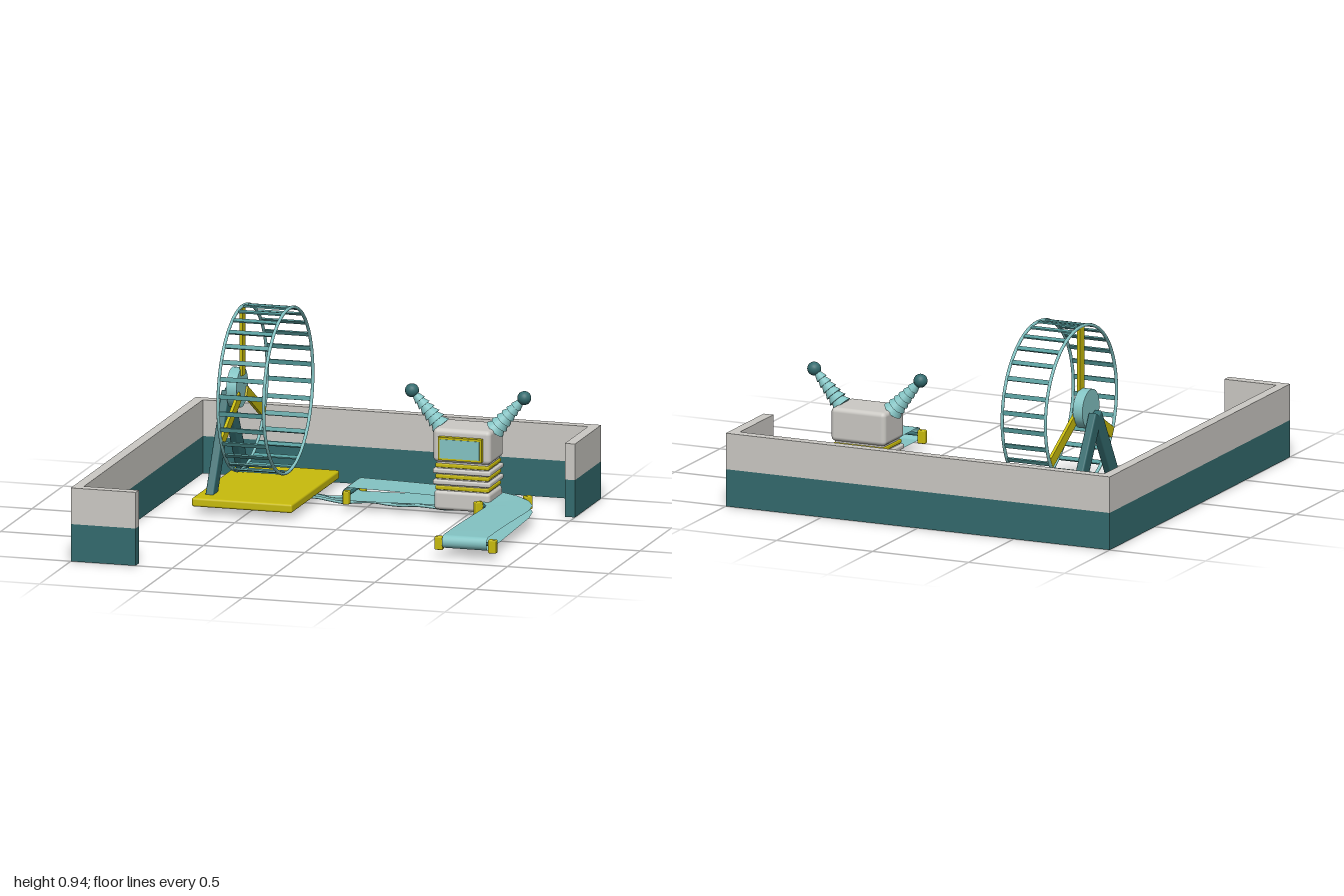
import * as THREE from 'three';
import { RoundedBoxGeometry } from 'three/addons/geometries/RoundedBoxGeometry.js';

const mat = (name, color, side = THREE.FrontSide) => {
  const m = new THREE.MeshStandardMaterial({ color, side });
  m.name = name;
  return m;
};

export function createModel() {
  const paleTeal = mat('pale teal', 0x84c4c4, THREE.DoubleSide);
  const midTeal = mat('mid teal', 0x549a9a);
  const darkTeal = mat('dark teal', 0x336b6e);
  const grey = mat('warm grey', 0xcccac5);
  const yellow = mat('yellow', 0xc9bc0c);

  const model = new THREE.Group();
  const group = (name, parent = model) => {
    const g = new THREE.Group();
    g.name = name;
    parent.add(g);
    return g;
  };
  const add = (parent, name, geo, material, x = 0, y = 0, z = 0) => {
    const m = new THREE.Mesh(geo, material);
    m.name = name;
    m.position.set(x, y, z);
    parent.add(m);
    return m;
  };
  // Box given by its low and high corners, optionally rounded
  const span = (parent, name, material, a, b, r = 0) => {
    const s = a.map((v, i) => b[i] - v);
    const geo = r ? new RoundedBoxGeometry(...s, 3, r) : new THREE.BoxGeometry(...s);
    return add(parent, name, geo, material, ...a.map((v, i) => (v + b[i]) / 2));
  };

  // Two-tone walls extruded from one plan outline
  const walls = group('walls');
  const plan = [[-1, -1], [1, -1], [1, -0.58], [0.95, -0.58], [0.95, -0.95],
    [-0.95, -0.95], [-0.95, 0.95], [-0.68, 0.95], [-0.68, 1], [-1, 1]];
  const outline = new THREE.Shape(plan.map(([x, z]) => new THREE.Vector2(x, -z)));
  for (const [name, m, y0, y1] of [['lowerWall', darkTeal, 0, 0.18], ['upperWall', grey, 0.18, 0.355]]) {
    const geo = new THREE.ExtrudeGeometry(outline, { depth: y1 - y0, bevelEnabled: false });
    geo.rotateX(-Math.PI / 2);
    add(walls, name, geo, m, 0, y0, 0);
  }

  // Running wheel on its base
  const wheelUnit = group('wheelUnit');
  span(wheelUnit, 'base', yellow, [-0.75, 0.035, -0.885], [-0.255, 0.077, -0.12], 0.01);
  for (const side of [-1, 1]) {
    const dy = 0.47, dz = 0.27;
    const leg = add(wheelUnit, 'leg', new RoundedBoxGeometry(0.04, Math.hypot(dy, dz), 0.075, 2, 0.008),
      darkTeal, -0.69, 0.275, -0.5 + side * dz / 2);
    leg.rotation.x = -side * Math.atan2(dz, dy);
  }
  const wheel = group('wheel', wheelUnit);
  wheel.position.set(0, 0.5375, -0.5);
  add(wheel, 'hub', new THREE.CylinderGeometry(0.095, 0.095, 0.05, 32).rotateZ(Math.PI / 2), paleTeal, -0.642);
  for (const x of [-0.615, -0.39])
    add(wheel, 'rim', new THREE.TorusGeometry(0.394, 0.008, 8, 64).rotateY(Math.PI / 2), paleTeal, x);
  for (let i = 0; i < 30; i++) {
    const a = i / 30 * Math.PI * 2;
    const slat = add(wheel, 'slat', new THREE.BoxGeometry(0.222, 0.008, 0.022), midTeal,
      -0.5025, Math.cos(a) * 0.394, Math.sin(a) * 0.394);
    slat.rotation.x = a;
  }
  for (let i = 0; i < 3; i++) {
    const a = i / 3 * Math.PI * 2;
    const spoke = add(wheel, 'spoke', new THREE.BoxGeometry(0.015, 0.33, 0.052), yellow,
      -0.615, Math.cos(a) * 0.225, Math.sin(a) * 0.225);
    spoke.rotation.x = a;
  }

  // Conveyor centre line: straight, quarter turn, straight
  const turnStart = 0.57, turnR = 0.26, turnEnd = turnStart + turnR * Math.PI / 2, length = turnEnd + 0.655;
  const track = (s, off = 0) => { // returns x, z and heading; off is sideways, outward positive
    if (s < turnStart) return [-0.07 + s, -0.53 - off, 0];
    if (s > turnEnd) return [0.76 + off, -0.27 + s - turnEnd, Math.PI / 2];
    const a = (s - turnStart) / turnR;
    return [0.5 + Math.sin(a) * (turnR + off), -0.27 - Math.cos(a) * (turnR + off), a];
  };
  const middle = (turnStart + turnEnd) / 2;
  const stops = [0, 0.2, 0.4, turnStart];
  for (let i = 1; i <= 5; i++) stops.push(turnStart + (turnEnd - turnStart) * i / 5);
  stops.push(turnEnd + 0.22, turnEnd + 0.44, length);

  // Closed belt that narrows towards the corner and wraps round both ends
  const loop = [];
  const gap = s => 0.012 + 0.02 * Math.min(1, Math.abs(s - middle) / 0.7);
  for (const s of stops) loop.push([s, 0.075 + gap(s)]);
  for (let i = 1; i < 8; i++)
    loop.push([length + Math.sin(i * Math.PI / 8) * 0.03, 0.075 + Math.cos(i * Math.PI / 8) * 0.032]);
  for (const s of [...stops].reverse()) loop.push([s, 0.075 - gap(s)]);
  for (let i = 1; i < 8; i++)
    loop.push([-Math.sin(i * Math.PI / 8) * 0.03, 0.075 - Math.cos(i * Math.PI / 8) * 0.032]);
  const pos = [], index = [];
  loop.forEach(([s, y], i) => {
    for (const off of [-0.11, 0.11]) {
      const [x, z] = track(s, off);
      pos.push(x, y, z);
    }
    const a = i * 2, b = ((i + 1) % loop.length) * 2;
    index.push(a, b, a + 1, a + 1, b, b + 1);
  });
  const beltGeo = new THREE.BufferGeometry();
  beltGeo.setAttribute('position', new THREE.Float32BufferAttribute(pos, 3));
  beltGeo.setIndex(index);
  beltGeo.computeVertexNormals();
  const conveyor = group('conveyor');
  add(conveyor, 'belt', beltGeo, paleTeal);

  // Axles and their end brackets
  for (const s of [0, middle, length]) {
    const [x, z, heading] = track(s);
    const axle = add(conveyor, 'axle', new THREE.CylinderGeometry(0.009, 0.009, 0.27, 12).rotateX(Math.PI / 2),
      darkTeal, x, 0.075, z);
    axle.rotation.y = -heading;
    for (const off of [-0.132, 0.132]) {
      const [px, pz] = track(s, off);
      const bracket = add(conveyor, 'bracket', new RoundedBoxGeometry(0.03, 0.065, 0.04, 2, 0.006),
        yellow, px, 0.065, pz);
      bracket.rotation.y = -heading;
    }
  }

  // Cables running from the base along the underside of the belt
  [-0.07, -0.015, 0.025].forEach((off, k) => {
    const pts = [];
    for (let i = 0; i <= 24; i++) {
      const s = -0.25 + i / 24 * (length + 0.1);
      const [x, z] = track(s, off + 0.012 * Math.sin(i * 1.3 + k));
      pts.push(new THREE.Vector3(x, 0.031 + 0.006 * Math.sin(i * 1.7 + k), z));
    }
    add(conveyor, 'cable', new THREE.TubeGeometry(new THREE.CatmullRomCurve3(pts), 96, 0.007, 6), paleTeal);
  });

  // Robot: stacked body rings, head with a screen
  const robot = group('robot');
  const block = (name, m, y0, y1, inset, r) =>
    span(robot, name, m, [0.355 + inset, y0, -0.61 + inset], [0.64 - inset, y1, -0.39 - inset], r);
  block('foot', grey, 0.035, 0.13, 0.004, 0.018);
  block('core', grey, 0.1, 0.3, 0.015, 0.01);
  for (const y of [0.132, 0.187, 0.24]) block('yellowRing', yellow, y, y + 0.02, 0.01, 0.006);
  for (const y of [0.158, 0.212]) block('greyRing', grey, y, y + 0.024, 0, 0.008);
  block('head', grey, 0.267, 0.43, 0, 0.022);
  span(robot, 'screenFrame', yellow, [0.39, 0.284, -0.4], [0.605, 0.395, -0.365]);
  span(robot, 'screen', paleTeal, [0.4, 0.294, -0.366], [0.595, 0.385, -0.362]);

  // Mirrored antennae made of stacked cones with a ball tip
  for (const side of [-1, 1]) {
    const antenna = group(side > 0 ? 'leftAntenna' : 'rightAntenna', robot);
    antenna.position.set(0.4975 + side * 0.125, 0.41, -0.5);
    antenna.rotation.z = -side * Math.atan2(0.152, 0.17);
    for (let i = 0; i < 6; i++) {
      const r = 0.05 - i * 0.0045;
      add(antenna, 'cone', new THREE.CylinderGeometry(r * 0.45, r, 0.045, 20), paleTeal, 0, 0.035 + i * 0.031, 0);
    }
    add(antenna, 'ball', new THREE.SphereGeometry(0.033, 20, 14), darkTeal, 0, 0.228, 0);
  }
  return model;
}
